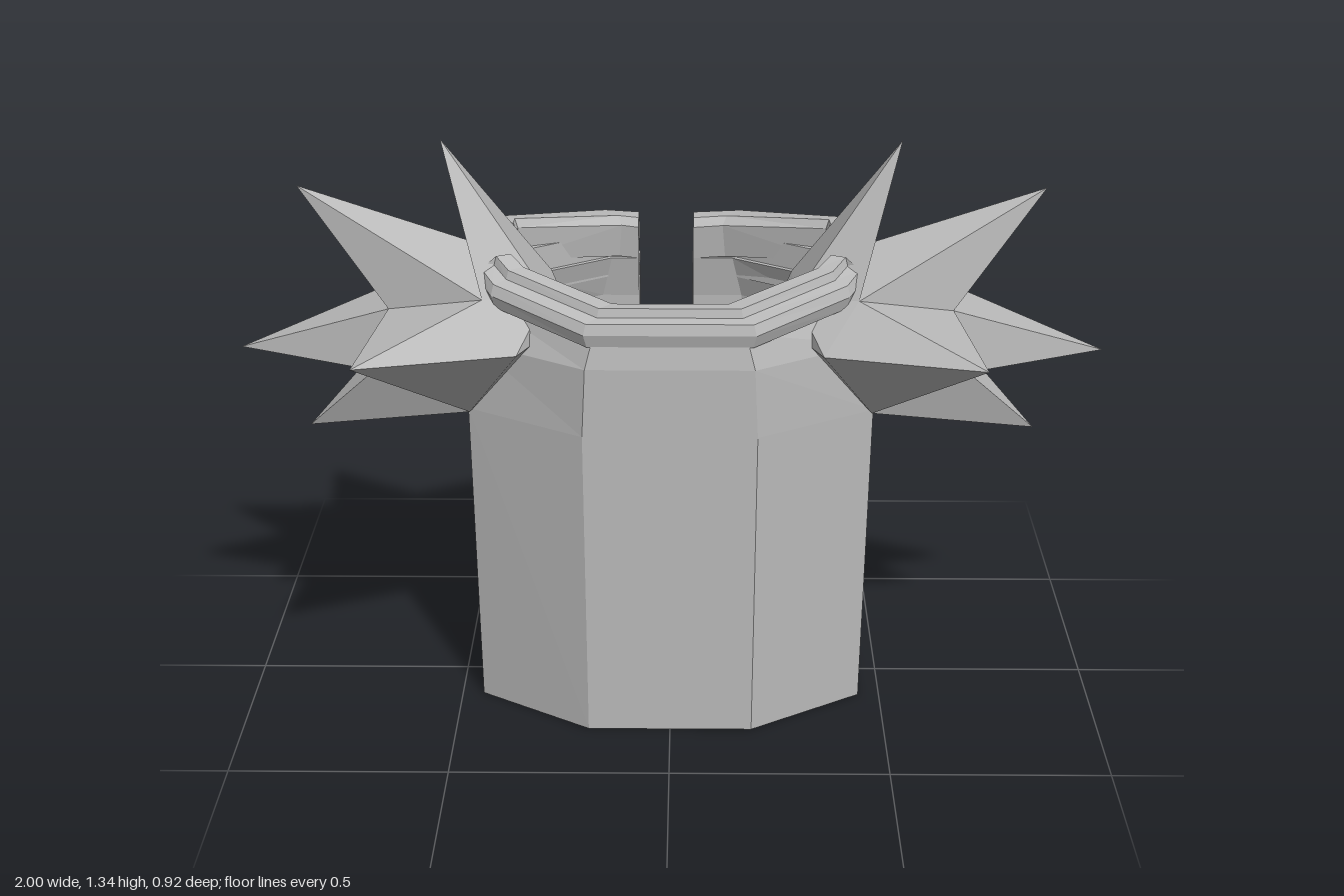
import * as THREE from 'three';

const V = (x, y, z) => new THREE.Vector3(x, y, z);

// Non-indexed geometry gives flat facets; closed solids are turned outward by signed volume.
function solid(tris) {
  let volume = 0;
  for (const [a, b, c] of tris) volume += a.dot(b.clone().cross(c));
  const pos = [];
  for (const [a, b, c] of tris)
    for (const p of volume < 0 ? [a, c, b] : [a, b, c]) pos.push(p.x, p.y, p.z);
  const g = new THREE.BufferGeometry();
  g.setAttribute('position', new THREE.Float32BufferAttribute(pos, 3));
  g.computeVertexNormals();
  return g;
}

// Joins closed cross-sections and caps both ends.
// Each section runs up its outer side and back down its inner side.
function loft(sections) {
  const tris = [], n = sections[0].length, last = sections.length - 1;
  for (let i = 0; i < last; i++)
    for (let j = 0; j < n; j++) {
      const k = (j + 1) % n, s = sections[i], t = sections[i + 1];
      tris.push([s[j], s[k], t[k]], [s[j], t[k], t[j]]);
    }
  for (let j = 0; j < n / 2 - 1; j++) {
    const k = n - 1 - j, s = sections[0], t = sections[last];
    tris.push([s[j], s[k], s[k - 1]], [s[j], s[k - 1], s[j + 1]]);
    tris.push([t[j], t[k - 1], t[k]], [t[j], t[j + 1], t[k - 1]]);
  }
  return solid(tris);
}

// Spiked shoulder: every spike is a fan over a ring of shared valley points.
function spikedShoulder(side) {
  const centre = V(0.47 * side, 0.92, 0);
  const p = (x, y, z) => V(x * side, y, z);
  const tris = [];
  const fan = (tip, ring) => ring.forEach((a, i) => {
    const b = ring[(i + 1) % ring.length];
    const normal = a.clone().sub(tip).cross(b.clone().sub(tip));
    const mid = tip.clone().add(a).add(b).divideScalar(3).sub(centre);
    tris.push(normal.dot(mid) > 0 ? [tip, a, b] : [tip, b, a]);
  });
  const valleys = (z) => ({
    top: p(0.42, 1.02, 0.18 * z), upper: p(0.64, 0.97, 0.1 * z),
    lower: p(0.68, 0.82, 0.1 * z), bottom: p(0.46, 0.735, 0.14 * z),
    edge: p(0.34, 0.92, 0.27 * z), inner: p(0.28, 1.0, 0.09 * z),
  });
  const f = valleys(1), b = valleys(-1), crest = p(0.43, 1.09, 0);
  fan(p(0.52, 1.34, 0), [crest, f.top, f.inner, b.inner, b.top]);
  fan(p(0.85, 1.23, 0), [crest, f.top, f.upper, b.upper, b.top]);
  fan(p(1.0, 0.84, 0), [f.upper, f.lower, b.lower, b.upper]);
  fan(p(0.85, 0.645, 0), [f.lower, f.bottom, b.bottom, b.lower]);
  fan(p(0.23, 0.92, 0), [f.inner, f.edge, f.bottom, b.bottom, b.edge, b.inner]);
  for (const [v, z] of [[f, 1], [b, -1]]) {
    fan(p(0.68, 0.96, 0.46 * z), [v.top, v.upper, v.lower, v.bottom, v.edge]);
    const m = v.top.clone().add(v.inner).add(v.edge).divideScalar(3);
    fan(m, [v.top, v.inner, v.edge]);
  }
  return solid(tris);
}

export function createModel() {
  const model = new THREE.Group();
  const grey = new THREE.MeshStandardMaterial({ color: 0xbababa });
  grey.name = 'plain grey';
  grey.flatShading = true;
  const add = (name, geometry) => {
    const mesh = new THREE.Mesh(geometry, grey);
    mesh.name = name;
    model.add(mesh);
    return mesh;
  };

  // Eight-sided torso shell, open along a slit at the back
  const plan = [[0.05, -0.3], [0.19, -0.3], [0.45, -0.13], [0.45, 0.13], [0.19, 0.3],
    [-0.19, 0.3], [-0.45, 0.13], [-0.45, -0.13], [-0.19, -0.3], [-0.08, -0.3]];
  add('torso', loft(plan.map(([x, z]) => {
    const w = Math.abs(x) > 0.1 ? 1 : 0;
    const at = (sx, y, sz) => V(w ? x * sx : x, y, z * sz);
    return [at(1, 0, 1), at(1.03, 0.74, 1), at(0.99, 0.9, 1), at(0.88, 0.98, 0.96),
      at(0.76, 0.98, 0.8), at(0.88, 0.88, 0.86), at(0.92, 0.74, 0.87), at(0.91, 0, 0.87)];
  })));

  // Stepped collar pieces: [outer x, outer z, inner x, inner z, top y]
  const collar = (name, columns) => add(name, loft(columns.map(([x, z, ix, iz, y]) => {
    const at = (t, h) => V(x + (ix - x) * t, y + h, z + (iz - z) * t);
    return [at(0.1, -0.08), at(0, -0.05), at(0.08, -0.025), at(0.42, -0.02), at(0.48, 0),
      at(0.88, 0), at(1, -0.02), at(0.92, -0.1)];
  })));
  collar('frontCollar', [[0.43, 0.13, 0.35, 0.09, 1.1], [0.4, 0.18, 0.32, 0.12, 1.08],
    [0.19, 0.3, 0.12, 0.22, 1.03], [-0.19, 0.3, -0.12, 0.22, 1.03],
    [-0.4, 0.18, -0.32, 0.12, 1.08], [-0.43, 0.13, -0.35, 0.09, 1.1]]);

  for (const [label, side, slit] of [['left', 1, 0.05], ['right', -1, -0.08]]) {
    collar(label + 'BackCollar', [[slit, -0.345, slit, -0.23, 1.08],
      [0.2 * side, -0.345, 0.12 * side, -0.23, 1.085],
      [0.42 * side, -0.19, 0.36 * side, -0.13, 1.11],
      [0.43 * side, -0.13, 0.36 * side, -0.1, 1.11]]);

    // Neck wall between torso and collar
    add(label + 'Neck', loft([[slit, -0.29], [0.18 * side, -0.29], [0.4 * side, -0.14]].map(([x, z]) => {
      const ix = Math.abs(x) > 0.1 ? x * 0.85 : x;
      return [V(x, 0.93, z), V(x, 1.04, z), V(ix, 1.04, z * 0.86), V(ix, 0.93, z * 0.86)];
    })));

    // Tapering lapel that hangs down beside the slit
    const lapel = [[slit, -0.335, 0.605], [0.19 * side, -0.335, 0.73], [0.44 * side, -0.18, 0.87]];
    add(label + 'Lapel', loft(lapel.map(([x, z, y]) => [V(x, y, z), V(x, 0.9, z),
      V(x * 0.97, 0.98, z * 0.88), V(x * 0.97, 0.96, z * 0.8), V(x * 0.97, 0.9, z * 0.85), V(x, y, z * 0.87)])));

    add(label + 'SpikedShoulder', spikedShoulder(side));
  }

  // Hexagonal buttons beside the slit
  for (let i = 0; i < 3; i++) {
    const button = add('button' + (i + 1), new THREE.CylinderGeometry(0.03, 0.03, 0.035, 6));
    button.rotation.x = -Math.PI / 2;
    button.position.set(0.12, 0.148 + i * 0.165, -0.317);
  }
  return model;
}
